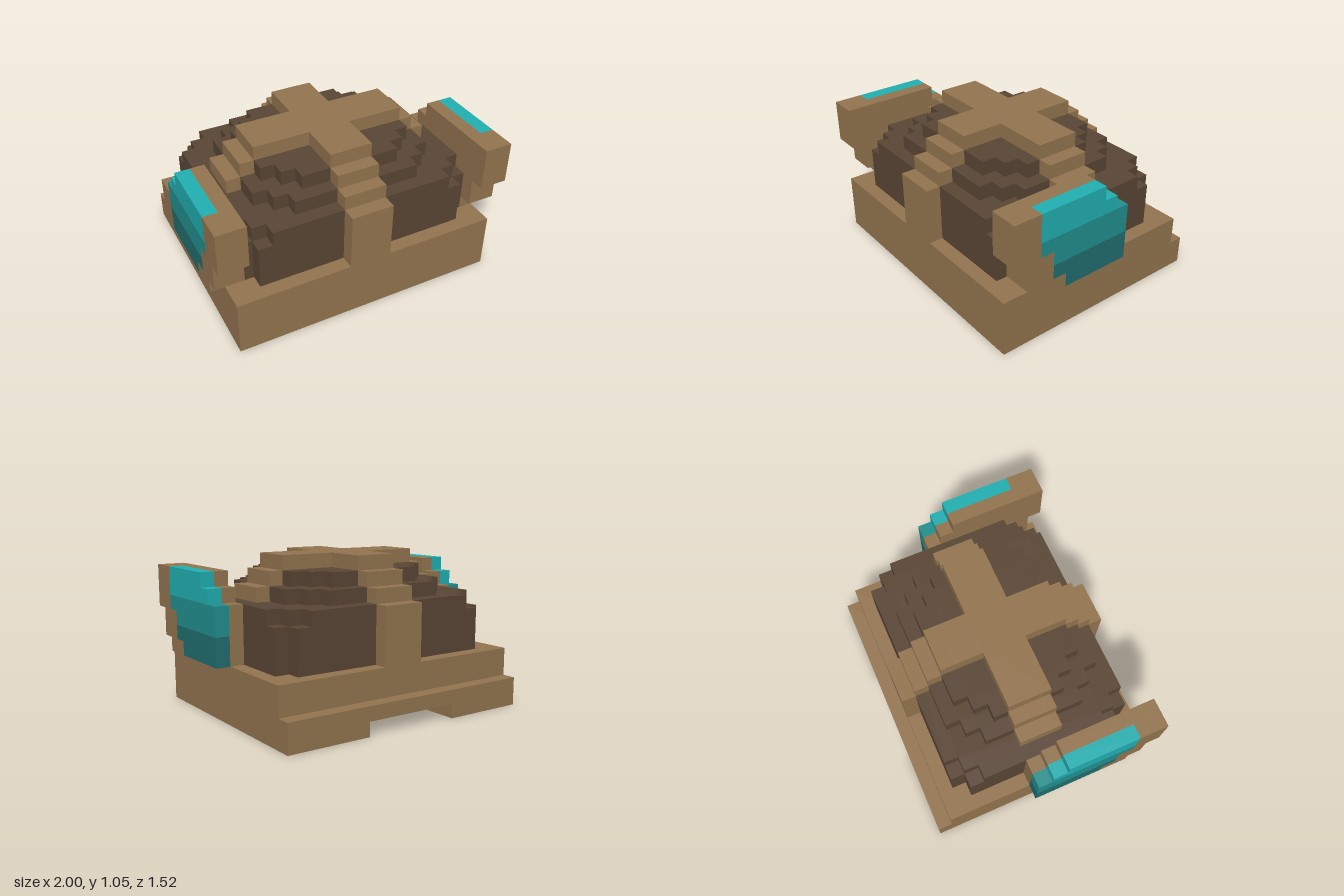
import * as THREE from 'three';

const U = 2 / 21; // one block

export function createModel() {
  const group = new THREE.Group();
  const mat = (name, color) => {
    const m = new THREE.MeshStandardMaterial({ color });
    m.name = name;
    return m;
  };
  const tan = mat('tan', 0x94754f);
  const brown = mat('dark brown', 0x5a4635);
  const tealLight = mat('light teal', 0x22b0b2);
  const tealMid = mat('mid teal', 0x22908f);
  const tealDark = mat('dark teal', 0x226f70);

  const add = (parent, name, geo, material) => {
    const mesh = new THREE.Mesh(geo.scale(U, U, U), material);
    mesh.name = name;
    parent.add(mesh);
  };

  // Box given by its limits in blocks
  const box = (parent, name, material, [x0, x1], [y0, y1], [z0, z1]) => {
    const geo = new THREE.BoxGeometry(Math.abs(x1 - x0), y1 - y0, z1 - z0);
    geo.translate((x0 + x1) / 2, (y0 + y1) / 2, (z0 + z1) / 2);
    add(parent, name, geo, material);
  };

  // Flat slab with a stepped outline, mirrored from one quadrant of [halfX, halfZ] steps
  const slab = (name, material, y0, y1, steps) => {
    const q = [];
    steps.forEach(([hx, hz], i) => {
      q.push([hx, hz]);
      if (steps[i + 1]) q.push([steps[i + 1][0], hz]);
    });
    const r = [...q].reverse();
    const outline = [
      ...q,
      ...r.map(([x, z]) => [-x, z]),
      ...q.map(([x, z]) => [-x, -z]),
      ...r.map(([x, z]) => [x, -z]),
    ];
    const shape = new THREE.Shape(outline.map(([x, z]) => new THREE.Vector2(x, z)));
    const geo = new THREE.ExtrudeGeometry(shape, { depth: y1 - y0, bevelEnabled: false });
    geo.rotateX(-Math.PI / 2).translate(0, y0, 0.5);
    add(group, name, geo, material);
  };

  // Base with a low back ledge and a recess under the back
  box(group, 'baseTop', tan, [-9.5, 9.5], [2, 4], [-7, 8]);
  box(group, 'baseMiddle', tan, [-9.5, 9.5], [1, 2], [-8, 8]);
  box(group, 'baseBottomFront', tan, [-9.5, 9.5], [0, 1], [-3, 8]);
  for (const s of [1, -1])
    box(group, 'baseBottomSide', tan, [s * 3.5, s * 9.5], [0, 1], [-8, -3]);

  // Stepped dome
  slab('domeWall', brown, 4, 7, [[8.5, 5.5], [7.5, 6.5]]);
  slab('domeShoulder', brown, 7, 8, [[8.5, 4.5], [7.5, 5.5], [6.5, 6.5]]);
  slab('domeUpper', brown, 8, 9, [[6.5, 3.5], [5.5, 4.5], [4.5, 5.5]]);
  slab('domeTop', brown, 9, 10, [[5.5, 2.5], [4.5, 3.5], [3.5, 4.5]]);

  // Cross-shaped bands stepping over the dome
  slab('bandWall', tan, 4, 8, [[1.5, 7.5]]);
  for (let i = 0; i < 3; i++)
    slab('bandStep', tan, 8 + i, 9 + i, [[7.5 - i, 1.5], [1.5, 6.5 - i]]);

  // Side fins, row by row: bottom, back, end of the teal panel, front, panel colour
  const rows = [
    [4, -1, 4, 6, tealDark],
    [5, -1, 5, 7, tealDark],
    [6, -1, 5, 7, tealMid],
    [7, -1, 6, 8, tealMid],
    [8, 0, 6, 8, tealLight],
    [9, 1, 6, 8, tealLight],
  ];
  for (const s of [1, -1]) {
    const fin = new THREE.Group();
    fin.name = s > 0 ? 'leftFin' : 'rightFin';
    for (const [y, back, mid, front, teal] of rows) {
      box(fin, 'finInner', tan, [s * 8.5, s * 9.5], [y, y + 1], [back, front]);
      box(fin, 'finPanel', teal, [s * 9.5, s * 10.5], [y, y + 1], [back, mid]);
      box(fin, 'finFront', tan, [s * 9.5, s * 10.5], [y, y + 1], [mid, front]);
    }
    group.add(fin);
  }
  return group;
}
